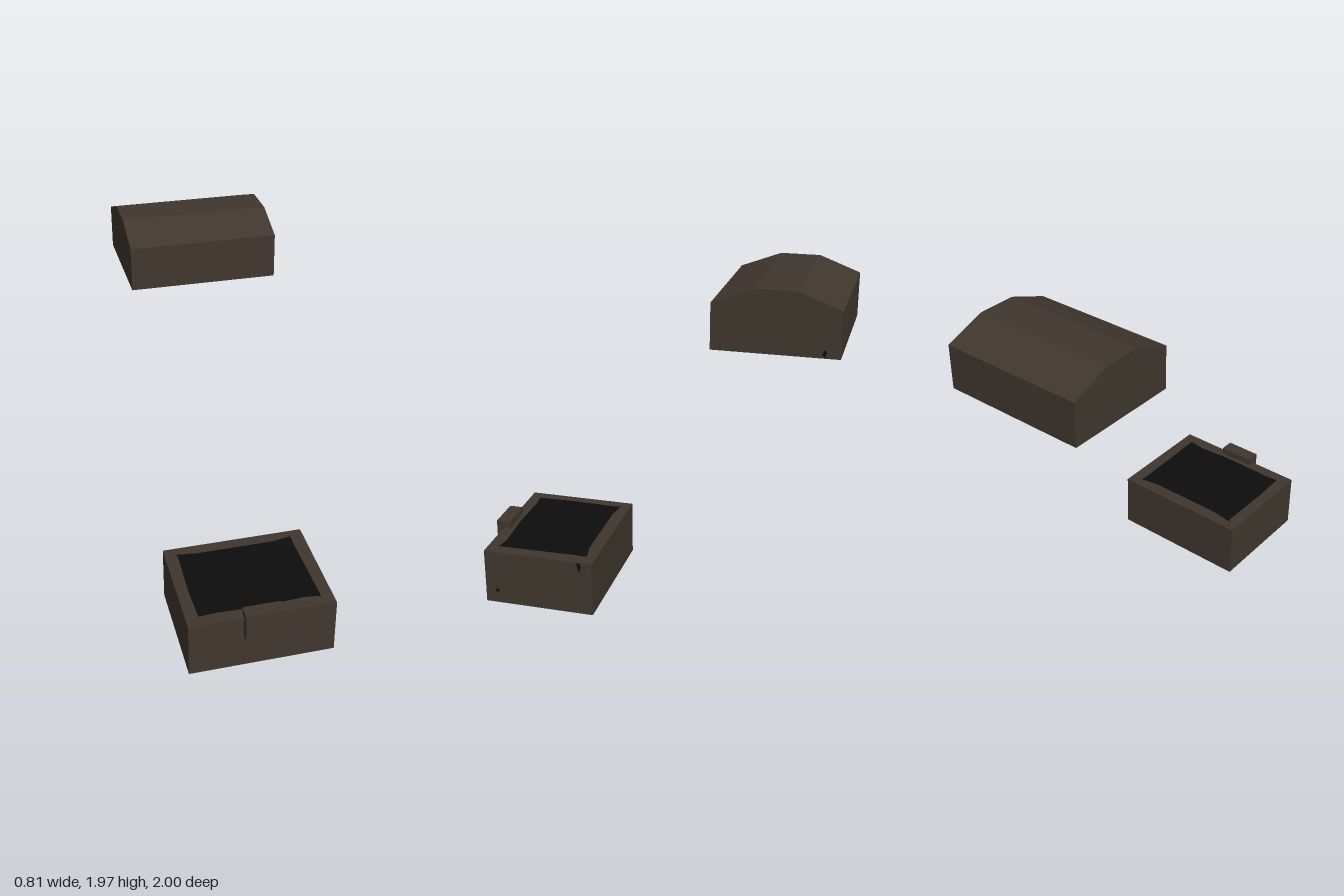
import * as THREE from 'three';

const wood = new THREE.MeshStandardMaterial({ color: 0x40372e });
wood.name = 'dark wood';
const black = new THREE.MeshStandardMaterial({ color: 0x0d0d0d });
black.name = 'black interior';

const shapeOf = (pts) => new THREE.Shape(pts.map(([x, y]) => new THREE.Vector2(x, y)));

export function createModel() {
  const model = new THREE.Group();
  model.name = 'openChest';

  const add = (name, geometry, material, x = 0, y = 0, z = 0) => {
    const mesh = new THREE.Mesh(geometry, material);
    mesh.name = name;
    mesh.position.set(x, y, z);
    model.add(mesh);
  };

  // Box given by its lower and upper corners
  const block = (name, a, b) => add(name,
    new THREE.BoxGeometry(b[0] - a[0], b[1] - a[1], b[2] - a[2]), wood,
    (a[0] + b[0]) / 2, (a[1] + b[1]) / 2, (a[2] + b[2]) / 2);

  // Chest body and front latch
  block('chestBody', [-0.405, 0, 0.308], [0.405, 0.327, 0.957]);
  block('latch', [-0.105, 0.205, 0.918], [0.105, 0.368, 1]);

  // Faceted lid: side profile in (z, y), extruded across x
  const profile = [[-1, 1.64], [-0.347, 1.64], [-0.347, 1.882],
    [-0.565, 1.965], [-0.78, 1.965], [-1, 1.882]];
  const lid = new THREE.ExtrudeGeometry(shapeOf(profile), { depth: 0.81, bevelEnabled: false });
  lid.translate(0, 0, -0.405).rotateY(-Math.PI / 2);
  add('lid', lid, wood);

  // Slightly uneven dark openings, in (x, z) about the panel centre
  const opening = [[-0.335, 0.258], [-0.342, 0.05], [-0.335, -0.25], [-0.345, -0.268],
    [-0.26, -0.258], [-0.24, -0.252], [0.22, -0.252], [0.33, -0.272], [0.328, -0.2],
    [0.338, 0.258], [0.25, 0.245], [0, 0.258], [-0.25, 0.252]];
  const up = new THREE.ShapeGeometry(shapeOf(opening.map(([x, z]) => [x, -z])));
  add('bodyOpening', up.rotateX(-Math.PI / 2), black, 0, 0.33, 0.633);
  const down = new THREE.ShapeGeometry(shapeOf(opening));
  add('lidOpening', down.rotateX(Math.PI / 2), black, 0, 1.637, -0.673);

  // Small dark nicks on the left side, in (z, y)
  const nicks = [
    [[0.398, 0.325], [0.374, 0.325], [0.374, 0.29], [0.384, 0.265], [0.392, 0.29]],
    [[0.898, 0.08], [0.89, 0.09], [0.876, 0.088], [0.876, 0.07], [0.89, 0.068]],
    [[-0.908, 1.66], [-0.92, 1.685], [-0.932, 1.67], [-0.922, 1.643]],
  ];
  nicks.forEach((pts, i) => {
    const g = new THREE.ShapeGeometry(shapeOf(pts.map(([z, y]) => [-z, y])));
    add('nick' + (i + 1), g.rotateY(Math.PI / 2), black, 0.407);
  });

  return model;
}
